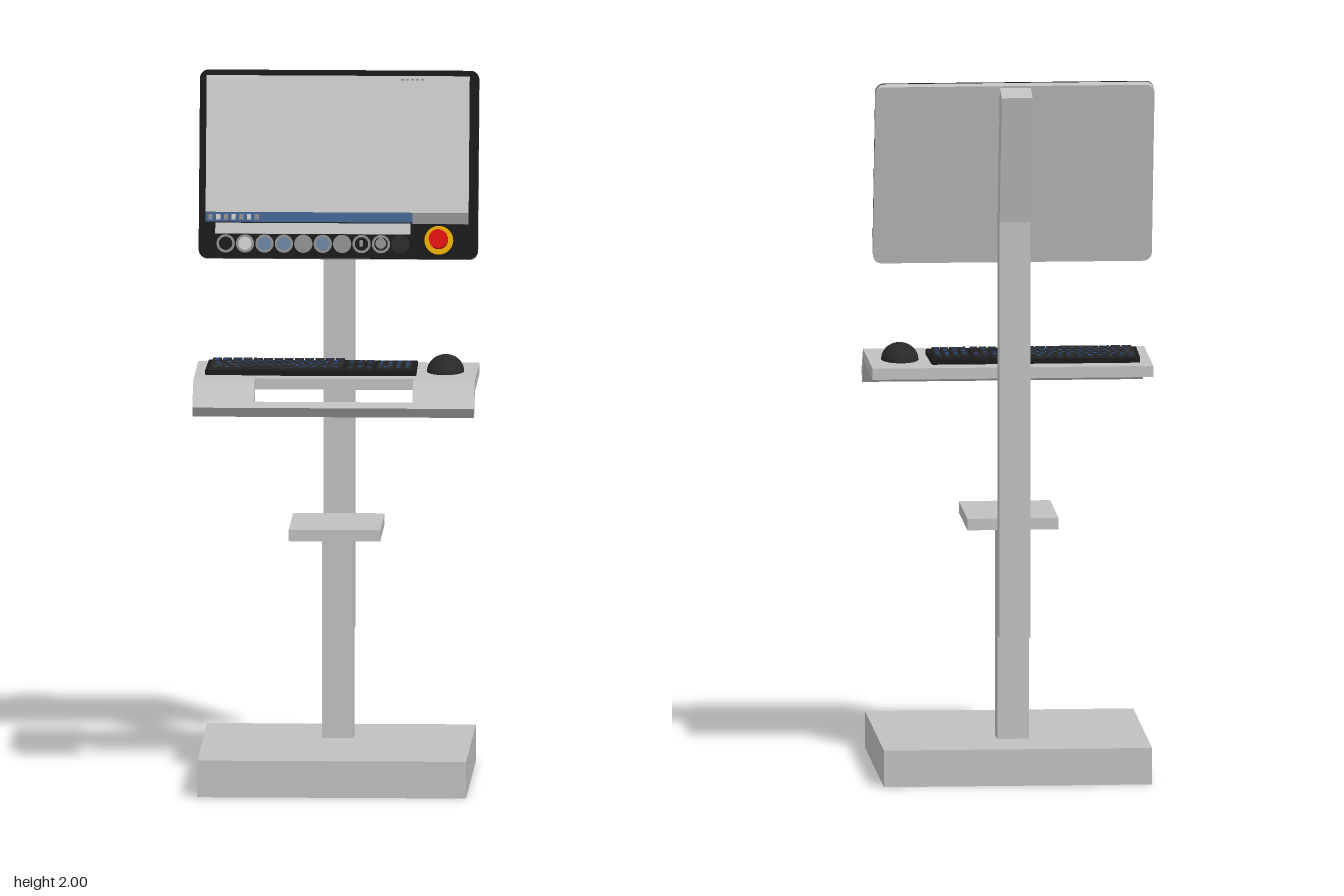
import * as THREE from 'three';

const mat = (name, color) => {
  const m = new THREE.MeshStandardMaterial({ color });
  m.name = name;
  return m;
};
const grey = mat('frame grey', 0xc0c0c0);
const black = mat('bezel black', 0x1a1a1a);
const light = mat('screen grey', 0xcacaca);
const barBlue = mat('taskbar blue', 0x40628e);
const legendBlue = mat('legend blue', 0x1f66e0);
const red = mat('stop red', 0xe01010);
const yellow = mat('ring yellow', 0xf0b000);
const silver = mat('button silver', 0x8c8c8c);
const lensBlue = mat('lens blue', 0x64809c);
const keyDark = mat('keycap charcoal', 0x292929);

function add(parent, name, geo, material, x = 0, y = 0, z = 0) {
  const m = new THREE.Mesh(geo, material);
  m.name = name;
  m.position.set(x, y, z);
  parent.add(m);
  return m;
}

// Box given by its limits on each axis
function block(parent, name, material, x0, x1, y0, y1, z0, z1) {
  return add(parent, name, new THREE.BoxGeometry(x1 - x0, y1 - y0, z1 - z0), material,
    (x0 + x1) / 2, (y0 + y1) / 2, (z0 + z1) / 2);
}

// Side profile of [z, y] points extruded from x0 to x1
function profile(parent, name, material, pts, x0, x1) {
  const shape = new THREE.Shape(pts.map(([z, y]) => new THREE.Vector2(-z, y)));
  const geo = new THREE.ExtrudeGeometry(shape, { depth: x1 - x0, bevelEnabled: false });
  geo.rotateY(Math.PI / 2);
  return add(parent, name, geo, material, x0);
}

// Upright slab with rounded corners, bottom edge at y0
function roundedSlab(w, y0, y1, r, depth) {
  const s = new THREE.Shape(), a = w / 2;
  s.absarc(a - r, y0 + r, r, -Math.PI / 2, 0);
  s.absarc(a - r, y1 - r, r, 0, Math.PI / 2);
  s.absarc(-a + r, y1 - r, r, Math.PI / 2, Math.PI);
  s.absarc(-a + r, y0 + r, r, Math.PI, Math.PI * 1.5);
  return new THREE.ExtrudeGeometry(s, { depth, bevelEnabled: false, curveSegments: 6 });
}

// Cylinder whose axis points out of the panel, starting at z0
function disc(parent, name, material, r, len, x, y, z0 = 0) {
  const geo = new THREE.CylinderGeometry(r, r, len, 24);
  geo.rotateX(Math.PI / 2);
  return add(parent, name, geo, material, x, y, z0 + len / 2);
}

function buildStand(root) {
  const g = new THREE.Group();
  g.name = 'stand';
  root.add(g);
  block(g, 'base', grey, -0.382, 0.382, 0, 0.105, -0.383, 0.383);
  block(g, 'lowerColumn', grey, -0.045, 0.045, 0.105, 0.705, -0.18, -0.092);
  profile(g, 'upperColumn', grey, [[-0.18, 0.405], [-0.18, 1.59], [-0.268, 1.988],
    [-0.347, 1.97], [-0.258, 1.6], [-0.258, 0.405]], -0.044, 0.044);
  block(g, 'middleShelf', grey, -0.13, 0.13, 0.705, 0.738, -0.18, 0.165);
}

function buildTray(root) {
  const g = new THREE.Group();
  g.name = 'keyboardTray';
  root.add(g);
  block(g, 'trayTop', grey, -0.4, 0.4, 1.14, 1.172, -0.18, 0.163);
  // Bent front lip on both sides of the handle slot
  const lip = [[0.163, 1.172], [0.21, 1.172], [0.272, 1.102], [0.24, 1.072], [0.18, 1.14], [0.163, 1.14]];
  profile(g, 'lipLeft', grey, lip, 0.225, 0.4);
  profile(g, 'lipRight', grey, lip, -0.4, -0.225);
  profile(g, 'handleBar', grey, [[0.258, 1.118], [0.272, 1.102], [0.24, 1.072], [0.226, 1.088]], -0.225, 0.225);
}

function buildMonitor(root) {
  const g = new THREE.Group();
  g.name = 'monitor';
  g.position.set(0, 1.477, -0.121);
  g.rotation.x = -0.226;
  root.add(g);
  const H = 0.537;
  add(g, 'housing', roundedSlab(0.794, 0, H, 0.025, 0.025), grey, 0, 0, -0.031);
  add(g, 'bezel', roundedSlab(0.794, 0, H, 0.025, 0.006), black, 0, 0, -0.006);
  // Screen and its painted bands
  const plate = (name, m, x0, x1, y0, y1, h = 0.003) => block(g, name, m, x0, x1, y0, y1, 0, h);
  plate('screen', light, -0.378, 0.37, 0.125, 0.521, 0.002);
  plate('taskbar', barBlue, -0.378, 0.21, 0.103, 0.131);
  plate('taskbarEnd', silver, 0.21, 0.37, 0.099, 0.131);
  plate('lowerStrip', light, -0.35, 0.205, 0.069, 0.1);
  for (let i = 0; i < 7; i++) {
    const x = -0.37 + i * 0.022;
    plate('taskbarIcon', i % 2 ? light : silver, x, x + 0.012, 0.109, 0.125, 0.004);
  }
  for (let i = 0; i < 5; i++) plate('cornerReadout', silver, 0.175 + i * 0.014, 0.184 + i * 0.014, 0.508, 0.513);

  // Row of panel buttons
  const lenses = [black, light, lensBlue, lensBlue, silver, lensBlue, silver, black, black, keyDark];
  lenses.forEach((lens, i) => {
    const x = -0.32 + i * 0.0552, y = 0.041;
    disc(g, 'buttonRing', i === 9 ? keyDark : silver, 0.026, 0.006, x, y);
    disc(g, 'buttonLens', lens, 0.019, 0.009, x, y);
  });
  block(g, 'key', silver, 0.062, 0.07, 0.032, 0.05, 0.009, 0.03);
  disc(g, 'selectorKnob', silver, 0.015, 0.025, 0.122, 0.041, 0.006);
  block(g, 'selectorGrip', silver, 0.117, 0.127, 0.024, 0.058, 0.031, 0.05);

  // Emergency stop
  disc(g, 'stopRing', yellow, 0.041, 0.005, 0.286, 0.053);
  disc(g, 'stopStem', red, 0.022, 0.02, 0.286, 0.053);
  disc(g, 'stopHead', red, 0.027, 0.042, 0.286, 0.053, 0.018);
}

function buildKeyboard(root) {
  const g = new THREE.Group();
  g.name = 'keyboard';
  g.position.y = 1.172;
  root.add(g);
  // Body with a slightly bowed front edge
  const s = new THREE.Shape();
  s.moveTo(-0.36, 0.115);
  s.lineTo(0.22, 0.115);
  s.quadraticCurveTo(0.226, 0.115, 0.227, 0.105);
  s.lineTo(0.23, -0.095);
  s.quadraticCurveTo(0.23, -0.104, 0.22, -0.104);
  s.lineTo(0.06, -0.104);
  s.quadraticCurveTo(-0.07, -0.122, -0.22, -0.104);
  s.lineTo(-0.36, -0.104);
  s.quadraticCurveTo(-0.37, -0.104, -0.37, -0.095);
  s.lineTo(-0.367, 0.105);
  s.quadraticCurveTo(-0.366, 0.115, -0.36, 0.115);
  const body = new THREE.ExtrudeGeometry(s, { depth: 0.014, bevelEnabled: false });
  body.rotateX(-Math.PI / 2);
  add(g, 'keyboardBody', body, black);

  // Each row is a list of relative key widths spread over x0..x1
  const row = (z, x0, x1, widths) => {
    const unit = (x1 - x0) / widths.reduce((a, b) => a + b);
    let x = x0;
    widths.forEach((w) => {
      const x2 = x + w * unit, cx = (x + x2) / 2;
      block(g, 'keycap', keyDark, x + 0.002, x2 - 0.002, 0.012, 0.021, z - 0.013, z + 0.013);
      if (w < 4) block(g, 'keyLegend', legendBlue, cx - 0.004, cx + 0.004, 0.021, 0.022, z - 0.002, z + 0.002);
      x = x2;
    });
  };
  const ones = (n) => Array(n).fill(1);
  const zs = [-0.092, -0.054, -0.022, 0.01, 0.042, 0.073];
  const main = [ones(13), [...ones(13), 2], [1.5, ...ones(12), 1.5], [1.8, ...ones(11), 2.2],
    [2.3, ...ones(10), 2.7], [1.25, 1.25, 1.25, 6, 1.25, 1.25, 1.25, 1.5]];
  main.forEach((widths, i) => row(zs[i], -0.357, 0.022, widths));
  [1, 2].forEach((i) => row(zs[i], 0.03, 0.108, ones(3)));
  row(zs[4], 0.056, 0.082, [1]);
  row(zs[5], 0.03, 0.108, ones(3));
  [1, 2, 3, 4].forEach((i) => row(zs[i], 0.116, 0.216, ones(4)));
  row(zs[5], 0.116, 0.216, [2, 1, 1]);
}

function buildMouse(root) {
  const geo = new THREE.SphereGeometry(1, 32, 12, 0, Math.PI * 2, 0, Math.PI / 2);
  geo.scale(0.053, 0.048, 0.082);
  add(root, 'mouse', geo, keyDark, 0.31, 1.172, 0);
}

export function createModel() {
  const root = new THREE.Group();
  root.name = 'operatorTerminal';
  buildStand(root);
  buildTray(root);
  buildMonitor(root);
  buildKeyboard(root);
  buildMouse(root);
  return root;
}
